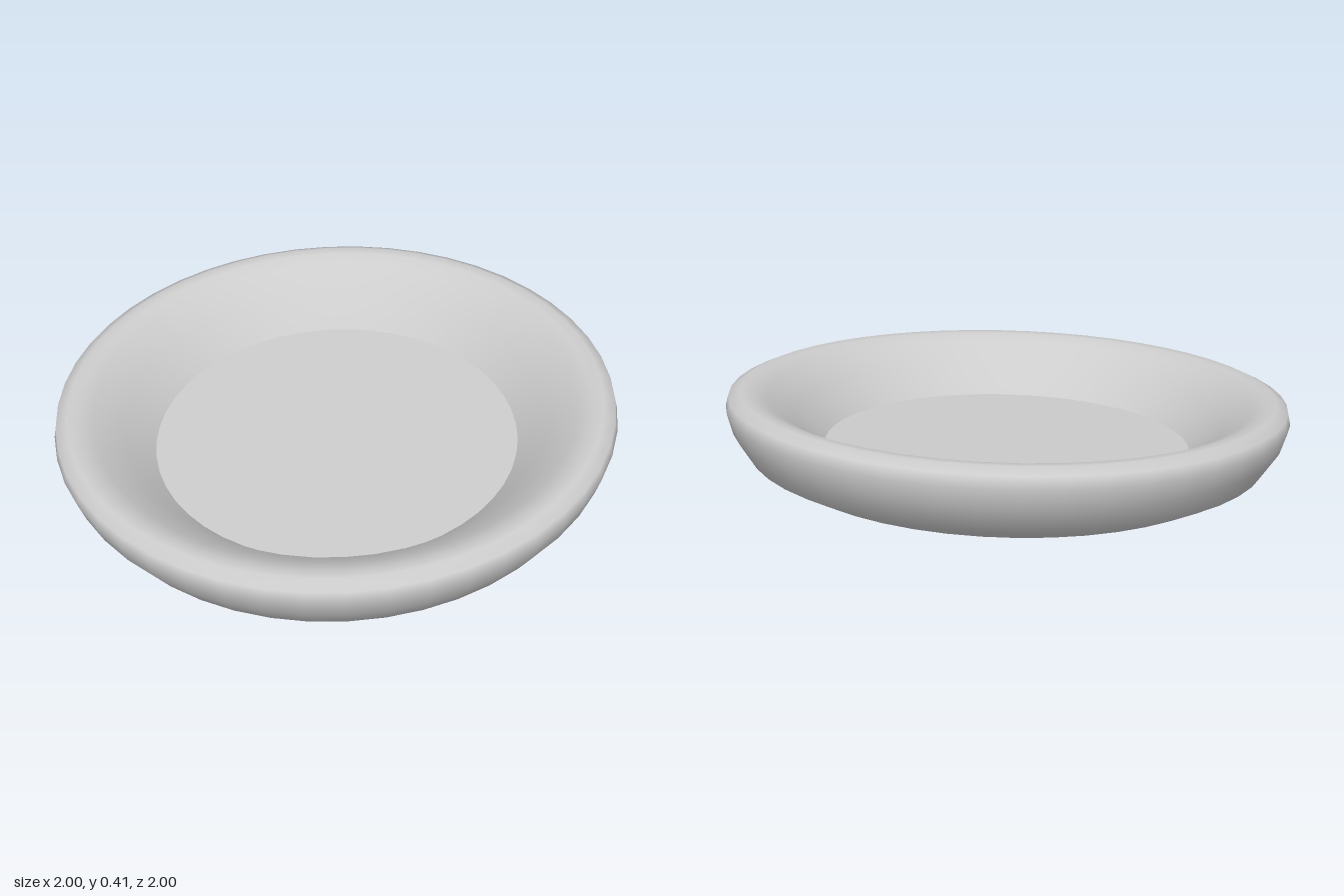
import * as THREE from 'three';

const SEGMENTS = 48;

// Revolve a profile of [radius, height] pairs around the dish axis
function revolve(name, profile, material) {
  const points = profile.map(([r, y]) => new THREE.Vector2(r, y));
  const mesh = new THREE.Mesh(new THREE.LatheGeometry(points, SEGMENTS), material);
  mesh.name = name;
  return mesh;
}

export function createModel() {
  const grey = new THREE.MeshStandardMaterial({ color: 0xcccccc });
  grey.name = 'light grey';

  const dish = new THREE.Group();
  dish.name = 'dish';

  // Shallow underside, rounded outer wall, rolled rim and sloping inner wall
  dish.add(revolve('bowl', [
    [0, -0.015], [0.27, -0.012], [0.69, 0], [0.825, 0.038], [0.925, 0.092],
    [0.98, 0.18], [1, 0.25], [0.99, 0.29], [0.95, 0.308], [0.91, 0.305],
    [0.86, 0.283], [0.76, 0.21], [0.66, 0.1],
  ], grey));

  // Flat floor inside the bowl, with a sharp edge against the wall
  dish.add(revolve('floor', [[0.66, 0.1], [0, 0.1]], grey));

  // The whole dish leans, rising towards +x
  dish.rotation.z = THREE.MathUtils.degToRad(3.63);
  dish.position.set(0.0135, 0.044, 0);

  const model = new THREE.Group();
  model.name = 'tiltedDish';
  model.add(dish);
  return model;
}
